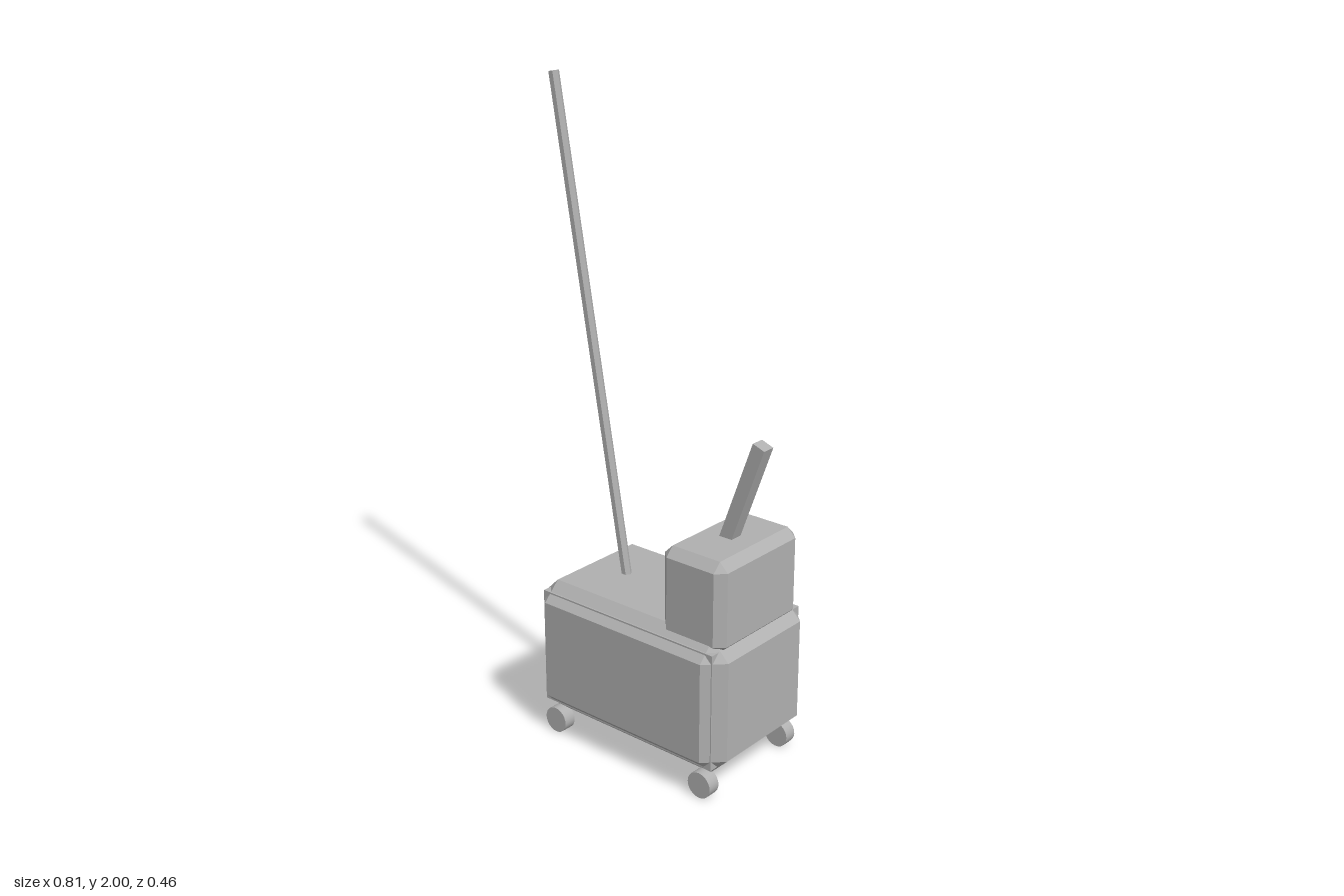
import * as THREE from 'three';
import { ConvexGeometry } from 'three/addons/geometries/ConvexGeometry.js';

const grey = new THREE.MeshStandardMaterial({ color: 0xb0b0b0 });
grey.name = 'plain grey';

// Box whose edges are all cut at 45 degrees
function chamferedBox(w, h, d, c) {
  const points = [];
  for (const sx of [-1, 1]) for (const sy of [-1, 1]) for (const sz of [-1, 1]) {
    const x = w / 2, y = h / 2, z = d / 2;
    points.push(
      new THREE.Vector3(sx * x, sy * (y - c), sz * (z - c)),
      new THREE.Vector3(sx * (x - c), sy * y, sz * (z - c)),
      new THREE.Vector3(sx * (x - c), sy * (y - c), sz * z));
  }
  return new ConvexGeometry(points);
}

export function createModel() {
  const model = new THREE.Group();
  model.name = 'wheeledRobot';
  const add = (name, geometry, x, y, z) => {
    const mesh = new THREE.Mesh(geometry, grey);
    mesh.name = name;
    mesh.position.set(x, y, z);
    model.add(mesh);
    return mesh;
  };

  // Body, with the corners of its inner frame just showing
  add('body', chamferedBox(0.715, 0.43, 0.456, 0.057), 0.047, 0.29, 0);
  add('innerFrame', new THREE.BoxGeometry(0.652, 0.37, 0.412), 0.047, 0.29, 0);

  // Head
  add('head', chamferedBox(0.226, 0.284, 0.372, 0.028), 0.274, 0.602, 0);

  // Leaning square post on the head
  const postAngle = THREE.MathUtils.degToRad(-20);
  const post = add('post', new THREE.BoxGeometry(0.042, 0.4, 0.042).translate(0, -0.2, 0), 0.38, 1.046, 0);
  post.rotation.z = postAngle;

  // Long six-sided antenna
  const antennaGeometry = new THREE.CylinderGeometry(0.016, 0.016, 1.58, 6)
    .rotateY(Math.PI / 6).translate(0, -0.79, 0).toNonIndexed();
  antennaGeometry.computeVertexNormals();
  const antenna = add('antenna', antennaGeometry, -0.389, 1.997, 0);
  antenna.rotation.z = THREE.MathUtils.degToRad(10);

  // Four wheels
  const wheelGeometry = new THREE.CylinderGeometry(0.041, 0.041, 0.041, 24).rotateX(Math.PI / 2);
  for (const x of [-0.24, 0.331])
    for (const side of [-1, 1])
      add(`${side > 0 ? 'front' : 'back'}${x > 0 ? 'Left' : 'Right'}Wheel`, wheelGeometry, x, 0.041, side * 0.187);

  return model;
}
